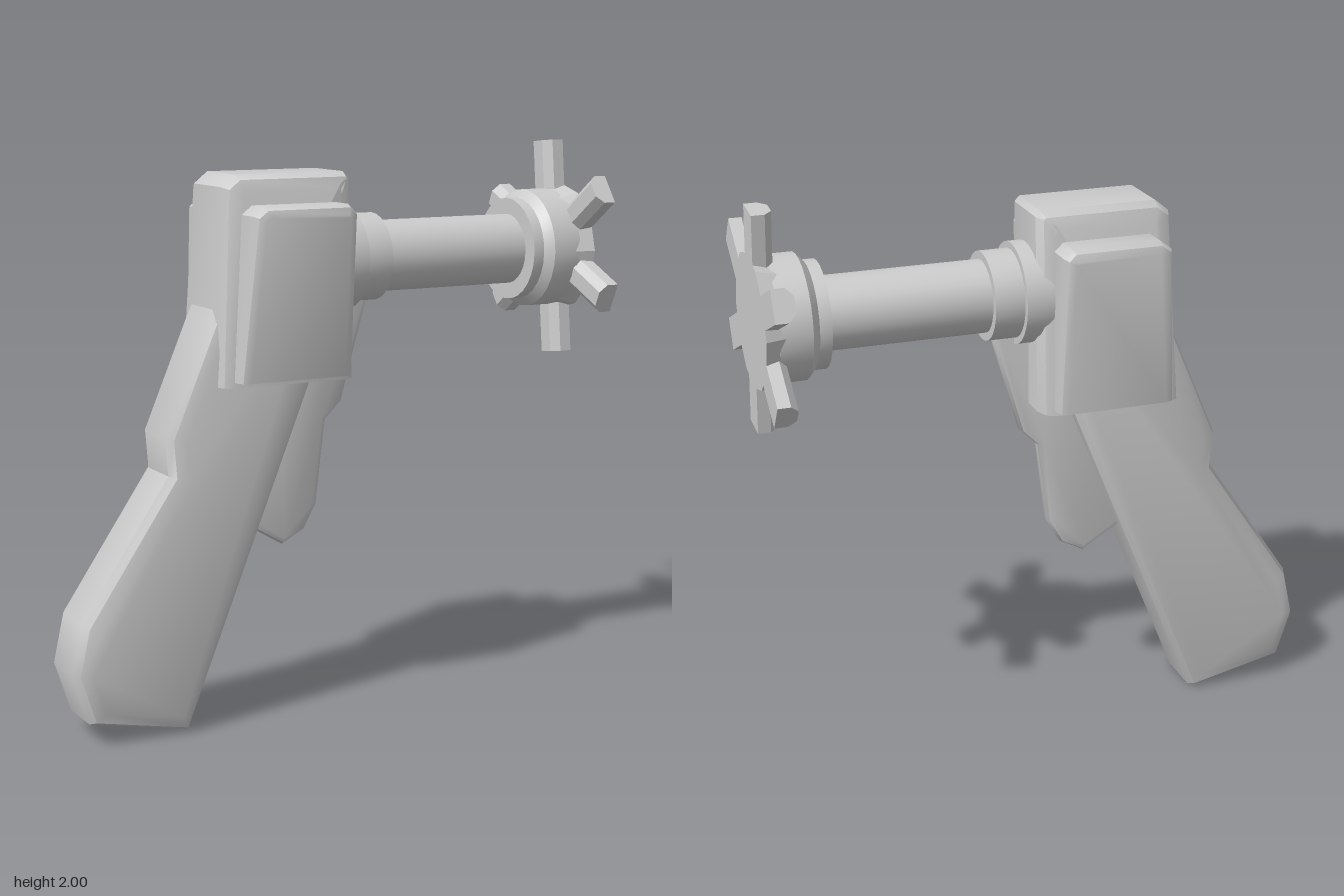
import * as THREE from 'three';
import { toCreasedNormals } from 'three/addons/utils/BufferGeometryUtils.js';

const material = new THREE.MeshStandardMaterial({ color: 0xcccccc });

// Bevelled slab from a side outline, centred on z = 0; rule may move each vertex
function slab(outline, halfWidth, bevel, rule) {
  const shape = new THREE.Shape(outline.map(([x, y]) => new THREE.Vector2(x, y)));
  const geometry = new THREE.ExtrudeGeometry(shape, {
    depth: 2 * (halfWidth - bevel),
    bevelSize: bevel, bevelThickness: bevel, bevelOffset: -bevel, bevelSegments: 2,
  });
  geometry.translate(0, 0, bevel - halfWidth);
  if (rule) {
    const p = geometry.attributes.position;
    const v = new THREE.Vector3();
    for (let i = 0; i < p.count; i++) {
      rule(v.fromBufferAttribute(p, i));
      p.setXYZ(i, v.x, v.y, v.z);
    }
  }
  return toCreasedNormals(geometry, 0.65);
}

export function createModel() {
  const model = new THREE.Group();
  model.name = 'nozzleTool';
  const add = (name, geometry, parent = model) => {
    const mesh = new THREE.Mesh(geometry, material);
    mesh.name = name;
    parent.add(mesh);
    return mesh;
  };

  // Slanted grip
  add('grip', slab([
    [-0.58, 0.005], [-0.05, 1.32], [-0.1, 1.5], [-0.45, 1.5], [-0.475, 1.44],
    [-0.645, 1.04], [-0.635, 0.91], [-0.96, 0.43], [-0.998, 0.26], [-0.94, 0.08],
  ], 0.14, 0.055));

  // Thin trigger lever
  add('trigger', slab([
    [-0.17, 0.605], [-0.085, 0.65], [-0.035, 0.74], [0.002, 1.04], [0.065, 1.1],
    [0.165, 1.45], [0.16, 1.55], [-0.05, 1.55], [-0.2, 1.2], [-0.36, 0.72],
  ], 0.035, 0.022));

  // Body block, flared toward a flat base
  add('body', slab([
    [-0.478, 1.21], [0.042, 1.21], [0.042, 1.9], [0.025, 1.92], [-0.39, 1.92], [-0.44, 1.88],
  ], 0.16, 0.055, (v) => {
    if (v.y < 1.3) v.y = 1.21;
    v.z *= 1 + 0.28 * Math.max(0, 1.87 - v.y);
  }));

  // Raised side panels, leaning inward at the base
  for (const side of [1, -1]) {
    const panel = add(side > 0 ? 'leftPanel' : 'rightPanel', slab([
      [-0.43, 1.23], [0, 1.23], [-0.005, 1.79], [-0.035, 1.82], [-0.35, 1.82], [-0.39, 1.79],
    ], 0.095, 0.035, (v) => {
      if (v.y < 1.29) v.y = 1.23;
      v.z -= side * 0.09 * Math.max(0, 1.79 - v.y);
    }));
    panel.position.z = side * 0.195;
  }

  // Barrel with collars and head, turned about the x axis
  const barrel = new THREE.Group();
  barrel.name = 'barrel';
  barrel.position.y = 1.61;
  model.add(barrel);
  const profile = [
    [0, -0.02], [0.178, -0.02], [0.178, 0.095], [0.155, 0.095], [0.155, 0.2], [0.127, 0.2],
    [0.127, 0.77], [0.185, 0.77], [0.185, 0.812], [0.215, 0.84], [0.215, 0.95], [0, 0.95],
  ].map(([r, x]) => new THREE.Vector2(r, x));
  const turned = new THREE.LatheGeometry(profile, 28);
  turned.rotateZ(-Math.PI / 2);
  add('tubeAndCollars', toCreasedNormals(turned, 0.5), barrel);

  // Toothed end wheel
  const wheel = new THREE.Group();
  wheel.name = 'toothedWheel';
  barrel.add(wheel);
  const hub = new THREE.CylinderGeometry(0.235, 0.215, 0.07, 12);
  hub.rotateZ(-Math.PI / 2);
  hub.translate(0.965, 0, 0);
  add('hub', toCreasedNormals(hub, 0.4), wheel);

  // Tooth section: flat in front, chamfered behind
  const section = new THREE.Shape([
    [1, -0.056], [1, 0.056], [0.955, 0.056], [0.928, 0.028], [0.928, -0.028], [0.955, -0.056],
  ].map(([x, w]) => new THREE.Vector2(x, w)));
  const tooth = new THREE.ExtrudeGeometry(section, { depth: 0.24, bevelEnabled: false });
  tooth.translate(0, 0, 0.15);
  tooth.rotateX(-Math.PI / 2);
  for (let i = 0; i < 6; i++) {
    add('tooth', tooth, wheel).rotation.x = -THREE.MathUtils.degToRad(6 + i * 60);
  }
  return model;
}
